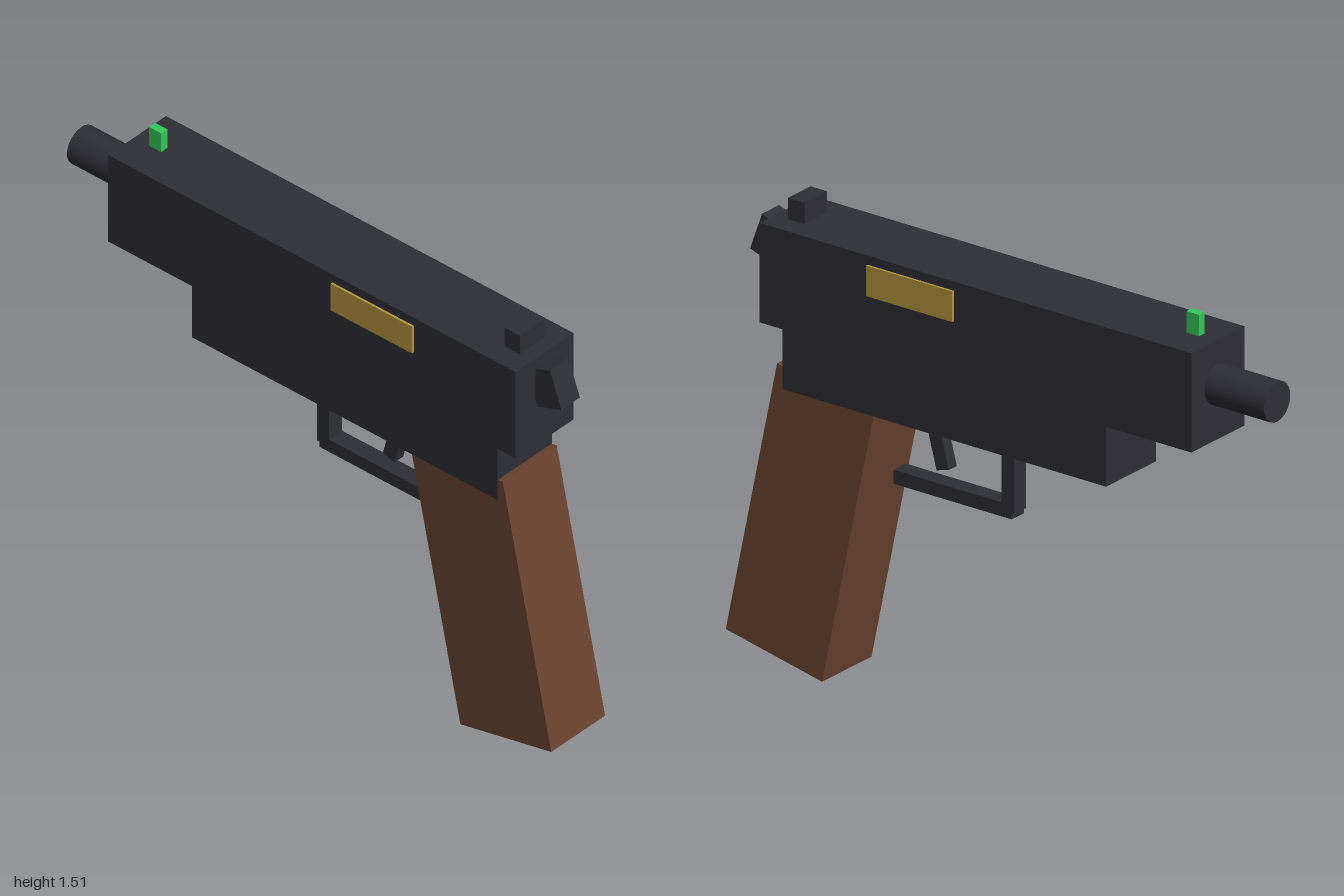
import * as THREE from 'three';

const material = (name, color) => {
  const m = new THREE.MeshStandardMaterial({ color });
  m.name = name;
  return m;
};

export function createModel() {
  const model = new THREE.Group();
  const metal = material('gunmetal', 0x2d2d35);
  const wood = material('walnut', 0x6b4430);
  const brass = material('brass', 0xb5953c);
  const green = material('sightGreen', 0x34c759);

  const add = (name, geometry, mat, x, y, z, tilt = 0) => {
    const mesh = new THREE.Mesh(geometry, mat);
    mesh.name = name;
    mesh.position.set(x, y, z);
    mesh.rotation.x = tilt;
    model.add(mesh);
    return mesh;
  };
  const box = (name, mat, [w, h, d], [x, y, z], tilt) =>
    add(name, new THREE.BoxGeometry(w, h, d), mat, x, y, z, tilt);

  // Upper body; the muzzle points to -z
  box('slide', metal, [0.262, 0.325, 1.64], [0, 1.2825, 0.045]);
  box('frame', metal, [0.246, 0.2, 1.23], [0, 1.02, 0.17]);
  add('barrel', new THREE.CylinderGeometry(0.065, 0.065, 0.26, 24), metal, 0, 1.3, -0.87, Math.PI / 2);

  // Slanted grip
  box('grip', wood, [0.244, 0.94, 0.374], [0, 0.5, 0.72], -0.209);

  // Sights and hammer
  box('rearSight', metal, [0.112, 0.08, 0.062], [0, 1.475, 0.784]);
  box('frontSight', green, [0.028, 0.08, 0.048], [0, 1.475, -0.69]);
  box('hammer', metal, [0.084, 0.133, 0.102], [0, 1.35, 0.899], -0.349);

  // Trigger and its guard
  box('trigger', metal, [0.04, 0.2, 0.048], [0, 0.854, 0.281], 0.262);
  box('guardBar', metal, [0.06, 0.046, 0.45], [0, 0.693, 0.21]);
  box('guardPost', metal, [0.06, 0.24, 0.048], [0, 0.81, 0]);

  // Thin brass plates on both sides
  for (const side of [-1, 1]) {
    box('sidePlate', brass, [0.009, 0.1, 0.328], [side * 0.1345, 1.365, 0.291]);
  }
  return model;
}
